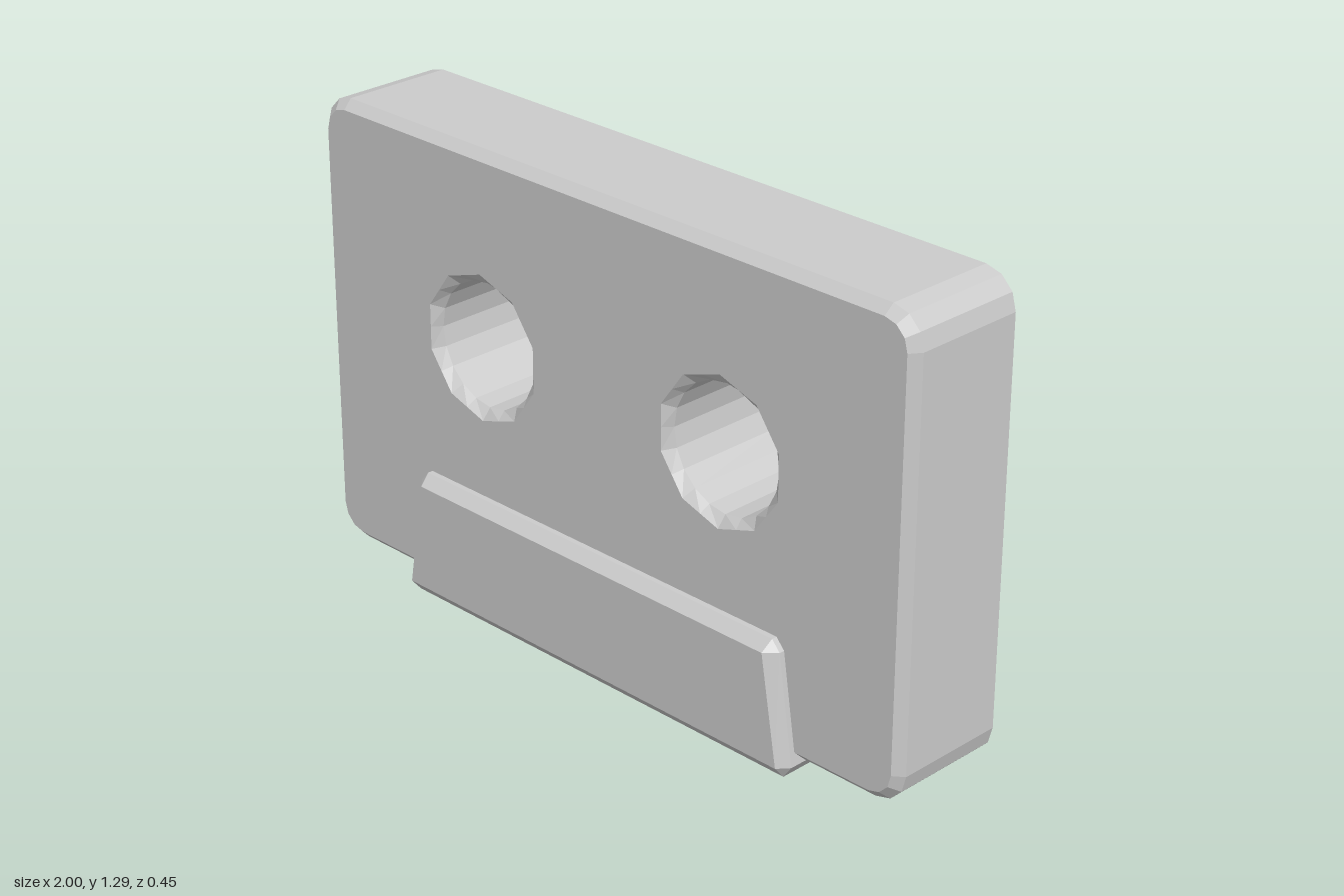
import * as THREE from 'three';

const material = new THREE.MeshStandardMaterial({ color: 0xcccccc, flatShading: true, side: THREE.DoubleSide });
const V = (x, y) => new THREE.Vector2(x, y);

// Collects triangles into one flat-shaded mesh
function builder() {
  const pos = [];
  const put = (p, z) => pos.push(p.x, p.y, z);
  return {
    // Quads between two matching loops; counter-clockwise loops face outward
    band(a, za, b, zb) {
      a.forEach((p, i) => {
        const j = (i + 1) % a.length;
        put(p, za); put(b[i], zb); put(b[j], zb);
        put(p, za); put(b[j], zb); put(a[j], za);
      });
    },
    // Front and back faces at +z and -z
    caps(outline, holes, z) {
      const all = [outline, ...holes].flat();
      for (const [a, b, c] of THREE.ShapeUtils.triangulateShape(outline, holes)) {
        put(all[a], z); put(all[b], z); put(all[c], z);
        put(all[c], -z); put(all[b], -z); put(all[a], -z);
      }
    },
    mesh(name) {
      const geometry = new THREE.BufferGeometry();
      geometry.setAttribute('position', new THREE.Float32BufferAttribute(pos, 3));
      geometry.computeVertexNormals();
      const mesh = new THREE.Mesh(geometry, material);
      mesh.name = name;
      return mesh;
    },
  };
}

// Counter-clockwise rectangle with three-segment round corners
function roundedRect(w, y0, y1, r) {
  const points = [];
  const corners = [[w - r, y1 - r], [r - w, y1 - r], [r - w, y0 + r], [w - r, y0 + r]];
  corners.forEach(([x, y], k) => {
    for (let s = 0; s <= 3; s++) {
      const a = (k + s / 3) * Math.PI / 2;
      points.push(V(x + r * Math.cos(a), y + r * Math.sin(a)));
    }
  });
  return points;
}

// Clockwise 20-point loop; oddRadius sets every second point
function holeLoop(cx, cy, radius, oddRadius) {
  return Array.from({ length: 20 }, (_, i) => {
    const a = Math.PI / 2 - i * Math.PI / 10;
    const r = i % 2 ? oddRadius : radius;
    return V(cx + r * Math.cos(a), cy + r * Math.sin(a));
  });
}

function createBody() {
  const b = builder();
  const z = 0.18, zin = 0.155;
  const side = roundedRect(1, 0.045, 1.295, 0.09);
  const face = roundedRect(0.975, 0.07, 1.27, 0.068);
  b.band(face, z, side, zin);
  b.band(side, zin, side, -zin);
  b.band(side, -zin, face, -z);

  // Round through-holes opening into ten-sided rims
  const rims = [-0.408, 0.416].map((x) => {
    const bore = holeLoop(x, 0.77, 0.17, 0.17);
    const rim = holeLoop(x, 0.77, 0.2, 0.2 * Math.cos(Math.PI / 10));
    b.band(rim, z, bore, zin);
    b.band(bore, zin, bore, -zin);
    b.band(bore, -zin, rim, -z);
    return rim;
  });
  b.caps(face, rims, z);
  return b.mesh('body');
}

function createFoot() {
  const b = builder();
  const z = 0.225, zin = 0.195;
  // Right half from bottom to top, mirrored to close the loop
  const mirror = (half) => [...half, ...half.map((p) => V(-p.x, p.y)).reverse()];
  const side = mirror([V(0.655, 0), V(0.68, 0.035), V(0.635, 0.33), V(0.61, 0.358)]);
  const low = V(0.655, 0.035), high = V(0.605, 0.33);
  const face = mirror([low, low, high, high]);
  b.band(face, z, side, zin);
  b.band(side, zin, side, -zin);
  b.band(side, -zin, face, -z);
  b.caps(mirror([low, high]), [], z);
  return b.mesh('foot');
}

export function createModel() {
  const group = new THREE.Group();
  group.name = 'chamferedBlock';
  group.add(createBody(), createFoot());
  return group;
}
